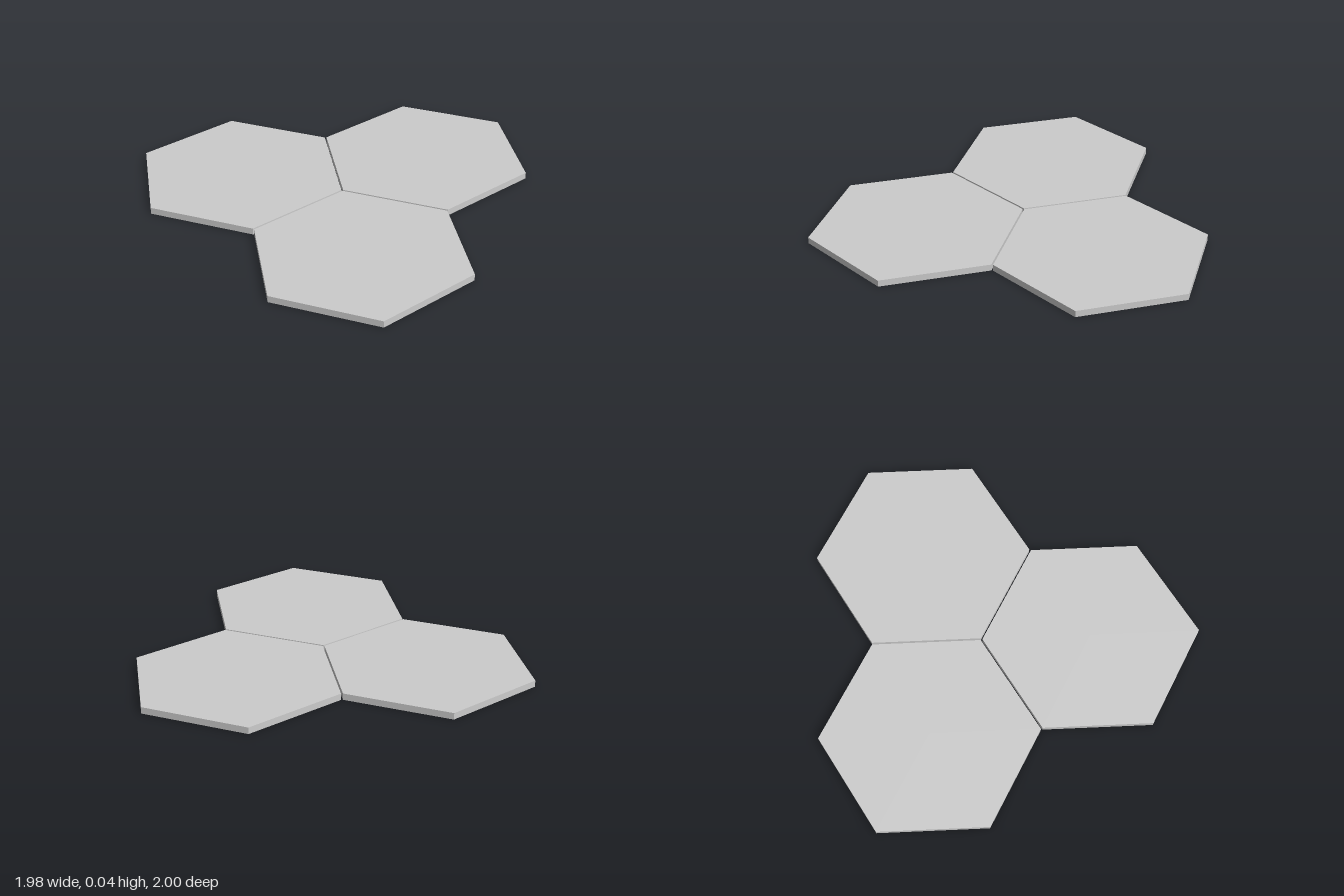
import * as THREE from 'three';

export function createModel() {
  const group = new THREE.Group();
  const radius = 0.569;   // centre to corner
  const height = 0.035;
  const spacing = 0.995;  // centre to centre, leaves a thin gap
  const row = spacing * Math.sqrt(3) / 4;

  const material = new THREE.MeshStandardMaterial({ color: 0xcccccc, flatShading: true });
  const geometry = new THREE.CylinderGeometry(radius, radius, height, 6);
  geometry.translate(0, height / 2, 0);

  // Three hexagonal tiles meeting at one corner
  const tiles = [
    ['backTile', 0, -row],
    ['leftTile', spacing / 2, row],
    ['rightTile', -spacing / 2, row],
  ];
  for (const [name, x, z] of tiles) {
    const tile = new THREE.Mesh(geometry, material);
    tile.name = name;
    tile.position.set(x, 0, z);
    group.add(tile);
  }
  return group;
}
